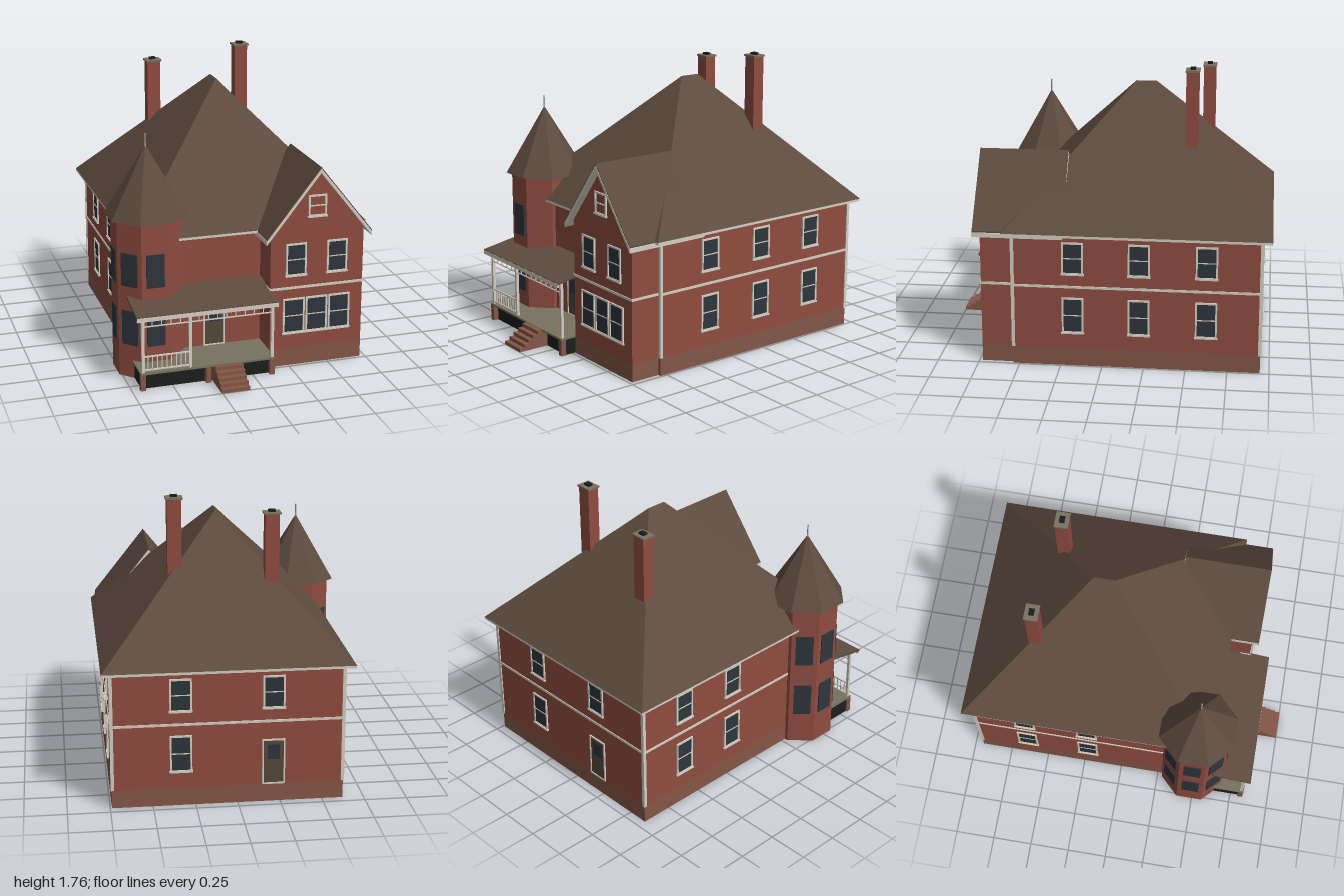
import * as THREE from 'three';
import { ConvexGeometry } from 'three/addons/geometries/ConvexGeometry.js';

const mat = (name, color) => new THREE.MeshStandardMaterial({ name, color, flatShading: true });

export function createModel() {
  const brick = mat('brick', 0x8f4c40);
  const foundation = mat('foundation', 0x845646);
  const shingle = mat('shingle', 0x5e4b3f);
  const trim = mat('trim', 0xd4cfc2);
  const glass = mat('glass', 0x2d353c);
  const wood = mat('door wood', 0x54473a);
  const stone = mat('stone', 0x77725f);
  const dark = mat('dark void', 0x1b1d1d);
  const metal = mat('metal', 0xa3a29c);

  const house = new THREE.Group();
  house.name = 'house';

  const add = (name, geo, material, parent = house) => {
    const m = new THREE.Mesh(geo, material);
    m.name = name;
    parent.add(m);
    return m;
  };
  // Box given by its minimum and maximum corners
  const box = (name, material, x0, x1, y0, y1, z0, z1, parent = house) => {
    const g = new THREE.BoxGeometry(x1 - x0, y1 - y0, z1 - z0);
    g.translate((x0 + x1) / 2, (y0 + y1) / 2, (z0 + z1) / 2);
    return add(name, g, material, parent);
  };
  // Outline in x and y, pulled from z0 to z1
  const prism = (name, material, pts, z0, z1) => {
    const shape = new THREE.Shape(pts.map(p => new THREE.Vector2(...p)));
    const g = new THREE.ExtrudeGeometry(shape, { depth: z1 - z0, bevelEnabled: false });
    g.translate(0, 0, z0);
    return add(name, g, material);
  };
  // Group on a wall, its local +z facing outward
  const onWall = (name, x, y, z, angle = 0) => {
    const g = new THREE.Group();
    g.name = name;
    g.position.set(x, y, z);
    g.rotation.y = angle;
    house.add(g);
    return g;
  };
  const frame = (g, w, h, t) => {
    for (const s of [-1, 1]) {
      const x = s * (w - t) / 2, y = s * (h - t) / 2;
      box('frameSide', trim, x - t / 2, x + t / 2, -h / 2, h / 2, 0, 0.009, g);
      box('frameRail', trim, -w / 2, w / 2, y - t / 2, y + t / 2, 0, 0.009, g);
    }
  };
  const sashWindow = (x, y, z, angle, w = 0.13, h = 0.225, pane = true) => {
    const g = onWall('window', x, y, z, angle);
    if (pane) box('pane', glass, -w / 2 + 0.006, w / 2 - 0.006, -h / 2 + 0.006, h / 2 - 0.006, -0.002, 0.004, g);
    frame(g, w, h, 0.011);
    box('meetingRail', trim, -w / 2, w / 2, -0.003, 0.003, 0, 0.007, g);
    box('sill', trim, -w / 2 - 0.004, w / 2 + 0.004, -h / 2 - 0.004, -h / 2 + 0.006, 0, 0.014, g);
  };
  const door = (x, z, angle) => {
    const g = onWall('door', x, 0.25, z, angle);
    box('doorLeaf', wood, -0.06, 0.06, -0.14, 0.135, -0.002, 0.004, g);
    box('doorGlass', glass, -0.036, 0.036, 0.015, 0.105, 0, 0.006, g);
    frame(g, 0.135, 0.28, 0.009);
    return g;
  };

  // Main block
  const X0 = -0.625, X1 = 0.74, Z0 = -0.945, Z1 = 0.54;
  box('mainFoundation', foundation, X0, X1, 0, 0.11, Z0, Z1);
  box('mainWalls', brick, X0, X1, 0.11, 0.826, Z0, Z1);
  box('mainBelt', trim, X0 - 0.005, X1 + 0.005, 0.495, 0.51, Z0 - 0.005, Z1 + 0.005);
  box('mainCornice', trim, -0.678, 0.788, 0.822, 0.84, -0.998, 0.593);
  const hip = [[0.055, 1.61, -0.265], [0.055, 1.61, -0.14]];
  for (const x of [-0.68, 0.79]) for (const z of [-1, 0.595]) hip.push([x, 0.838, z]);
  add('mainRoof', new ConvexGeometry(hip.map(p => new THREE.Vector3(...p))), shingle);
  for (const [x, z] of [[X0, Z0], [X1, Z0], [X1, Z1]]) {
    const cx = x - Math.sign(x) * 0.004, cz = z - Math.sign(z) * 0.004;
    box('cornerBoard', trim, cx - 0.01, cx + 0.01, 0.11, 0.826, cz - 0.01, cz + 0.01);
  }

  // Front gabled wing
  const gx = 0.425, wingFront = 0.73;
  box('wingFoundation', foundation, 0.13, 0.72, 0, 0.11, 0.5, wingFront);
  prism('wingWalls', brick, [[0.13, 0.11], [0.72, 0.11], [0.72, 0.85], [gx, 1.222], [0.13, 0.85]], 0.5, wingFront);
  box('wingBelt', trim, 0.125, 0.725, 0.495, 0.51, 0.5, wingFront + 0.005);
  const chevron = (half, top, thick) => {
    const drop = half * 1.26;
    return [[gx - half, top - drop - thick], [gx, top - thick], [gx + half, top - drop - thick],
      [gx + half, top - drop], [gx, top], [gx - half, top - drop]];
  };
  prism('wingRoof', shingle, chevron(0.331, 1.256, 0.009), 0.234, 0.77);
  prism('wingBargeboard', trim, chevron(0.333, 1.247, 0.027), 0.232, 0.772);
  for (const x of [0.28, 0.425, 0.57]) sashWindow(x, 0.323, wingFront, 0, 0.138);
  for (const x of [0.291, 0.551]) sashWindow(x, 0.682, wingFront, 0, 0.13, 0.205);
  sashWindow(0.42, 1.01, wingFront, 0, 0.115, 0.135, false);

  // Windows and door on the sides and back
  for (const [y, h] of [[0.323, 0.225], [0.682, 0.2]]) {
    for (const z of [0.175, -0.22, -0.62]) {
      sashWindow(X1, y, z, Math.PI / 2, 0.13, h);
      if (z < 0) sashWindow(X0, y, z, -Math.PI / 2, 0.13, h);
    }
    sashWindow(0.335, y, Z0, Math.PI, 0.13, h);
  }
  sashWindow(-0.21, 0.682, Z0, Math.PI, 0.13, 0.2);
  door(-0.21, Z0, Math.PI);

  // Front door with transom
  const entry = door(-0.165, Z1, 0);
  box('transom', glass, -0.06, 0.06, 0.148, 0.185, -0.002, 0.005, entry);
  box('transomHead', trim, -0.068, 0.068, 0.185, 0.194, 0, 0.009, entry);

  // Octagonal corner tower
  const tx = -0.565, tz = 0.48, apothem = 0.2;
  const octagon = (name, material, rTop, rBottom, y0, y1) => {
    const g = new THREE.CylinderGeometry(rTop, rBottom, y1 - y0, 8);
    g.rotateY(Math.PI / 8);
    g.translate(tx, (y0 + y1) / 2, tz);
    add(name, g, material);
  };
  const corner = apothem / Math.cos(Math.PI / 8);
  octagon('towerWalls', brick, corner, corner, 0, 0.98);
  octagon('towerRoof', shingle, 0, 0.252, 0.975, 1.395);
  const spire = new THREE.CylinderGeometry(0.004, 0.005, 0.09, 8);
  spire.translate(tx, 1.42, tz);
  add('towerFinial', spire, metal);
  for (let i = 0; i < 4; i++) {
    const a = -i * Math.PI / 4;
    for (const [y, h] of [[0.318, 0.215], [0.682, 0.205]]) {
      const g = onWall('towerWindow', tx + apothem * Math.sin(a), y, tz + apothem * Math.cos(a), a);
      box('towerPane', glass, -0.055, 0.055, -h / 2, h / 2, -0.002, 0.006, g);
    }
  }

  // Porch base, deck and steps
  box('porchVoid', dark, -0.69, 0.125, 0, 0.1, 0.53, 0.8);
  box('porchDeck', stone, -0.7, 0.13, 0.1, 0.112, 0.53, 0.835);
  for (const x of [-0.685, -0.285, 0.115]) box('porchPier', foundation, x - 0.016, x + 0.016, 0, 0.1, 0.8, 0.833);
  for (let i = 0; i < 5; i++) {
    box('step', foundation, -0.255, -0.08, i * 0.022, (i + 1) * 0.022, 0.8, 1 - i * 0.032);
  }

  // Porch columns, railing and frieze
  const pz = 0.818;
  for (const x of [-0.682, -0.395, 0.115]) box('porchColumn', trim, x - 0.009, x + 0.009, 0.112, 0.465, pz - 0.009, pz + 0.009);
  for (const y of [0.125, 0.21]) box('railing', trim, -0.68, -0.395, y - 0.004, y + 0.004, pz - 0.005, pz + 0.005);
  for (let i = 1; i < 10; i++) {
    const x = -0.682 + i * 0.0287;
    box('baluster', trim, x - 0.003, x + 0.003, 0.125, 0.21, pz - 0.003, pz + 0.003);
  }
  for (const y of [0.398, 0.442]) box('friezeRail', trim, -0.68, 0.115, y - 0.003, y + 0.003, pz - 0.004, pz + 0.004);
  for (let i = 1; i < 14; i++) {
    const x = -0.682 + i * 0.0569;
    box('friezeSpindle', trim, x - 0.003, x + 0.003, 0.398, 0.442, pz - 0.003, pz + 0.003);
  }

  // Sloping porch roof, drawn as a side profile and turned to run along x
  const profile = new THREE.Shape([[0.53, 0.534], [0.53, 0.52], [0.86, 0.462], [0.86, 0.476]].map(p => new THREE.Vector2(...p)));
  const porchRoof = new THREE.ExtrudeGeometry(profile, { depth: 0.865, bevelEnabled: false });
  porchRoof.rotateY(-Math.PI / 2);
  porchRoof.translate(0.14, 0, 0);
  add('porchRoof', porchRoof, shingle);
  box('porchFascia', trim, -0.724, 0.139, 0.446, 0.472, 0.85, 0.861);

  // Chimneys
  for (const [x, z, base, top] of [[-0.242, -0.578, 1.2, 1.65], [0.327, -0.5, 1.28, 1.735]]) {
    box('chimney', brick, x - 0.042, x + 0.042, base, top, z - 0.038, z + 0.038);
    box('chimneyCap', stone, x - 0.051, x + 0.051, top, top + 0.011, z - 0.042, z + 0.042);
    box('chimneyFlue', dark, x - 0.02, x + 0.02, top + 0.011, top + 0.024, z - 0.016, z + 0.016);
  }
  return house;
}
